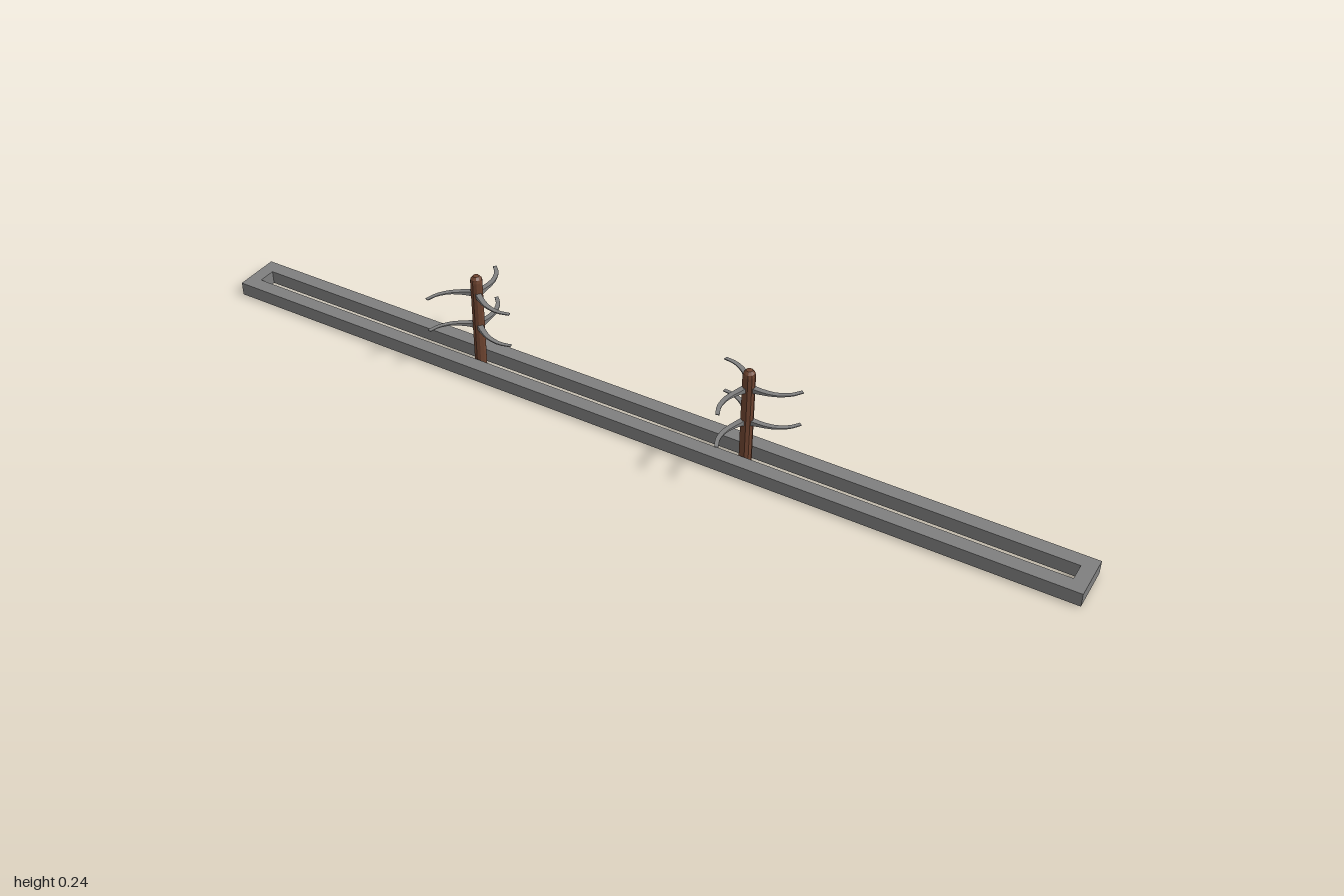
import * as THREE from 'three';

const steel = new THREE.MeshStandardMaterial({ color: 0x7f7f7f, flatShading: true });
steel.name = 'grey steel';
const wood = new THREE.MeshStandardMaterial({ color: 0x6e4430 });
wood.name = 'brown wood';
wood.flatShading = true;

// Hollow rectangular rail frame
function makeFrame() {
  const rect = (s, w, h) =>
    s.moveTo(-w, -h).lineTo(w, -h).lineTo(w, h).lineTo(-w, h).closePath();
  const shape = rect(new THREE.Shape(), 1, 0.052);
  shape.holes.push(rect(new THREE.Path(), 0.97, 0.02));
  const geo = new THREE.ExtrudeGeometry(shape, { depth: 0.031, bevelEnabled: false });
  geo.rotateX(-Math.PI / 2).translate(0, 0.002, 0);
  const mesh = new THREE.Mesh(geo, steel);
  mesh.name = 'railFrame';
  return mesh;
}

// Curved blade: rectangular sections along a bend, thick at the root, flat at the tip
function makeBlade() {
  const curve = new THREE.CatmullRomCurve3([
    [0, 0], [0.003, -0.02], [0.003, -0.055], [-0.008, -0.085], [-0.025, -0.104],
  ].map(([x, z]) => new THREE.Vector3(x, 0, z)));
  const n = 10, pos = [], idx = [];
  for (let i = 0; i <= n; i++) {
    const t = i / n;
    const p = curve.getPoint(t), d = curve.getTangent(t);
    const w = 0.0065 - 0.0025 * t;
    const h = 0.001 + 0.0075 * Math.pow(1 - t, 3);
    // side vector points to the right of the travel direction
    const sx = -d.z * w, sz = d.x * w;
    for (const [a, b] of [[1, -1], [1, 1], [-1, 1], [-1, -1]])
      pos.push(p.x + a * sx, b * h, p.z + a * sz);
  }
  for (let i = 0; i < n; i++)
    for (let k = 0; k < 4; k++) {
      const a = i * 4 + k, b = i * 4 + (k + 1) % 4;
      idx.push(a, a + 4, b, b, a + 4, b + 4);
    }
  const e = n * 4;
  idx.push(0, 1, 2, 0, 2, 3, e, e + 2, e + 1, e, e + 3, e + 2);
  const geo = new THREE.BufferGeometry();
  geo.setAttribute('position', new THREE.Float32BufferAttribute(pos, 3));
  geo.setIndex(idx);
  const flat = geo.toNonIndexed();
  flat.computeVertexNormals();
  return flat;
}

// Post with a rounded top
function makePost() {
  const profile = [[0, 0], [0.0135, 0], [0.0135, 0.224], [0.012, 0.231], [0.007, 0.237], [0, 0.238]];
  const geo = new THREE.LatheGeometry(profile.map(([x, y]) => new THREE.Vector2(x, y)), 10);
  const mesh = new THREE.Mesh(geo, wood);
  mesh.name = 'post';
  return mesh;
}

export function createModel() {
  const model = new THREE.Group();
  model.name = 'bladeTrap';
  model.add(makeFrame());

  const blade = makeBlade();
  // Two posts, each with two levels of three blades
  for (const [side, x, turn] of [['right', -0.375, 0], ['left', 0.272, -200]]) {
    const rotor = new THREE.Group();
    rotor.name = side + 'BladePost';
    rotor.position.x = x;
    rotor.rotation.y = THREE.MathUtils.degToRad(turn);
    rotor.add(makePost());
    for (const [level, y] of [['lower', 0.112], ['upper', 0.193]])
      for (let i = 0; i < 3; i++) {
        const mesh = new THREE.Mesh(blade, steel);
        mesh.name = level + 'Blade' + (i + 1);
        mesh.position.y = y;
        mesh.rotation.y = (i * Math.PI * 2) / 3;
        rotor.add(mesh);
      }
    model.add(rotor);
  }
  return model;
}
